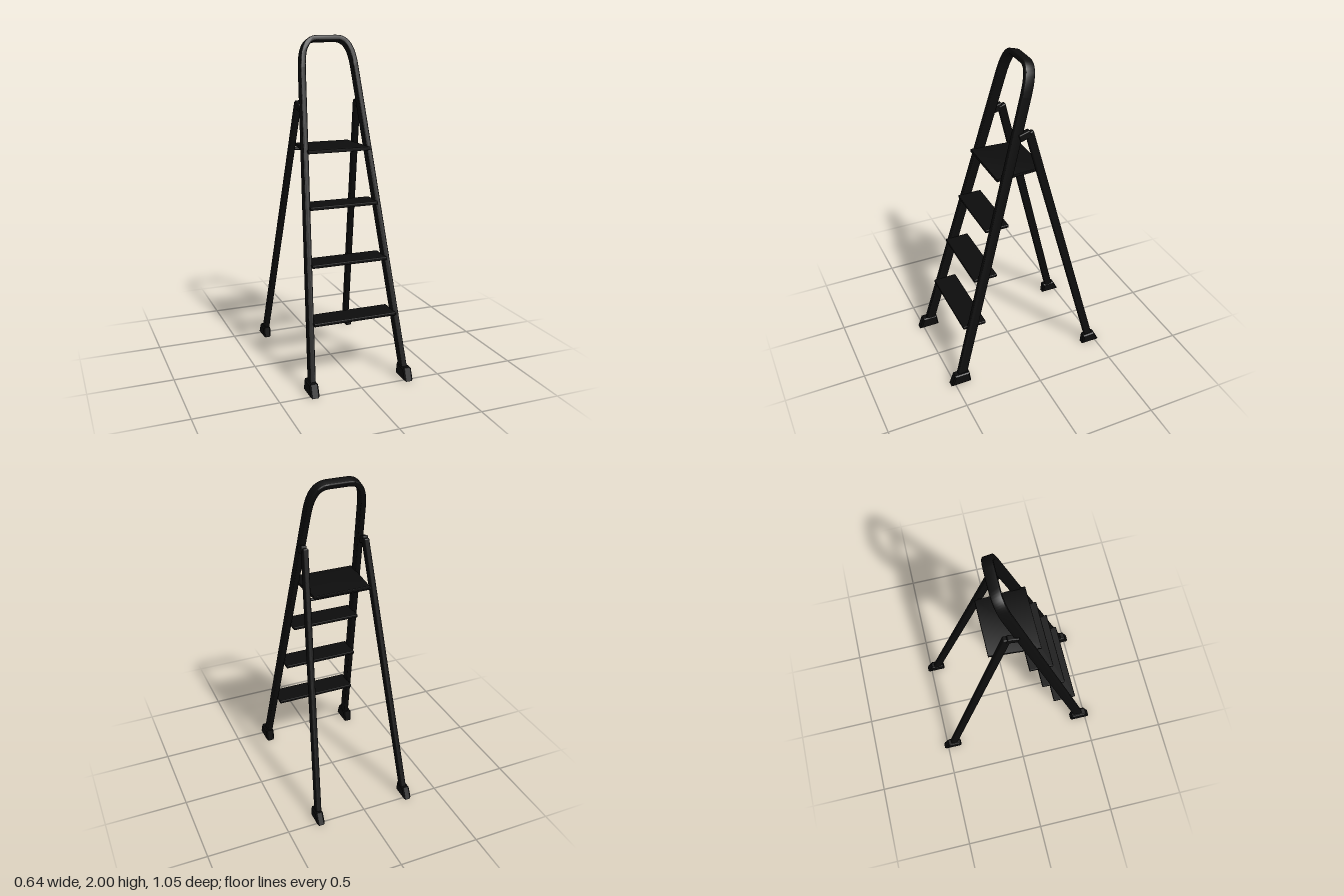
import * as THREE from 'three';
import { toCreasedNormals } from 'three/addons/utils/BufferGeometryUtils.js';
import { RoundedBoxGeometry } from 'three/addons/geometries/RoundedBoxGeometry.js';

const V2 = (x, y) => new THREE.Vector2(x, y);
const LEAN = Math.atan(0.274);
// Sideways splay and forward lean of the frame at height y
const railX = (y) => 0.295 - 0.0695 * y;
const railZ = (y) => 0.465 - 0.274 * y;

export function createModel() {
  const model = new THREE.Group();
  model.name = 'stepladder';
  const black = new THREE.MeshStandardMaterial({ color: 0x0d0d0d });

  const add = (name, geometry) => {
    const mesh = new THREE.Mesh(geometry, black);
    mesh.name = name;
    model.add(mesh);
    return mesh;
  };

  // Extrusion centred on its depth, with outer size kept despite the bevel
  const slab = (points, depth, bevel, segments) => {
    const geometry = new THREE.ExtrudeGeometry(new THREE.Shape(points), {
      depth: depth - 2 * bevel, bevelEnabled: true, bevelThickness: bevel,
      bevelSize: bevel, bevelOffset: -bevel, bevelSegments: segments,
    });
    geometry.translate(0, 0, -depth / 2 + bevel);
    return toCreasedNormals(geometry, 0.6);
  };

  // Front frame: two rails joined by a rounded handle, drawn flat then leaned back
  const top = 2.05;
  const right = [V2(0.292, 0.04)];
  const bend = new THREE.CubicBezierCurve(V2(0.166, 1.88), V2(0.158, 1.99), V2(0.13, top), V2(0.06, top));
  right.push(...bend.getPoints(14));
  const centre = [...right, ...right.slice().reverse().map((p) => V2(-p.x, p.y))];
  const offset = (d) => centre.map((p, i) => {
    const a = centre[Math.max(i - 1, 0)];
    const b = centre[Math.min(i + 1, centre.length - 1)];
    const t = b.clone().sub(a).normalize();
    return V2(p.x + t.y * d, p.y - t.x * d);
  });
  const outline = [...offset(0.0165), ...offset(-0.0165).reverse()];
  const frame = add('frontFrame', slab(outline, 0.06, 0.007, 3));
  frame.position.z = 0.465;
  frame.rotation.x = -LEAN;

  // Treads
  [0.39, 0.71, 1.03].forEach((y, i) => {
    const width = 2 * (railX(y) - 0.01);
    const tread = add(`step${i + 1}`, new RoundedBoxGeometry(width, 0.02, 0.148, 2, 0.005));
    tread.position.set(0, y, railZ(y) - 0.02);
  });

  // Platform, slightly narrower at the back
  const deck = [V2(-0.195, -0.155), V2(0.195, -0.155), V2(0.175, 0.15), V2(-0.175, 0.15)];
  const platform = add('platform', slab(deck, 0.02, 0.004, 2));
  platform.rotation.x = -Math.PI / 2;
  platform.position.y = 1.345;

  // Crossbar carrying the back of the platform
  const bar = add('platformCrossbar', new THREE.CylinderGeometry(0.009, 0.009, 0.4, 12));
  bar.rotation.z = Math.PI / 2;
  bar.position.set(0, 1.324, -0.12);

  // Foot side profiles: x is the model's z
  const frontFoot = [V2(0.395, 0), V2(0.528, 0), V2(0.5, 0.075), V2(0.405, 0.075)];
  const backFoot = [V2(-0.525, 0), V2(-0.405, 0), V2(-0.412, 0.065), V2(-0.49, 0.07)];

  for (const side of [1, -1]) {
    const label = side > 0 ? 'left' : 'right';

    // Rear leg
    const a = new THREE.Vector3(side * 0.188, 1.612, -0.045);
    const b = new THREE.Vector3(side * 0.292, 0.03, -0.46);
    const up = a.clone().sub(b);
    const leg = add(`${label}BackLeg`, new RoundedBoxGeometry(0.033, up.length(), 0.048, 3, 0.008));
    const y = up.normalize();
    const z = new THREE.Vector3(1, 0, 0).cross(y).normalize();
    const x = y.clone().cross(z);
    leg.quaternion.setFromRotationMatrix(new THREE.Matrix4().makeBasis(x, y, z));
    leg.position.copy(a).add(b).multiplyScalar(0.5);

    // Hinge linking the rear leg to the rail
    const hinge = add(`${label}Hinge`, new RoundedBoxGeometry(0.034, 0.045, 0.07, 2, 0.006));
    hinge.position.set(side * 0.191, 1.595, -0.016);
    hinge.rotation.x = 0.3;

    // Feet
    for (const [name, profile, width] of [['FrontFoot', frontFoot, 0.053], ['BackFoot', backFoot, 0.047]]) {
      const foot = add(label + name, slab(profile, width, 0.008, 1));
      foot.rotation.y = -Math.PI / 2;
      foot.position.x = side * 0.295;
    }
  }
  return model;
}
